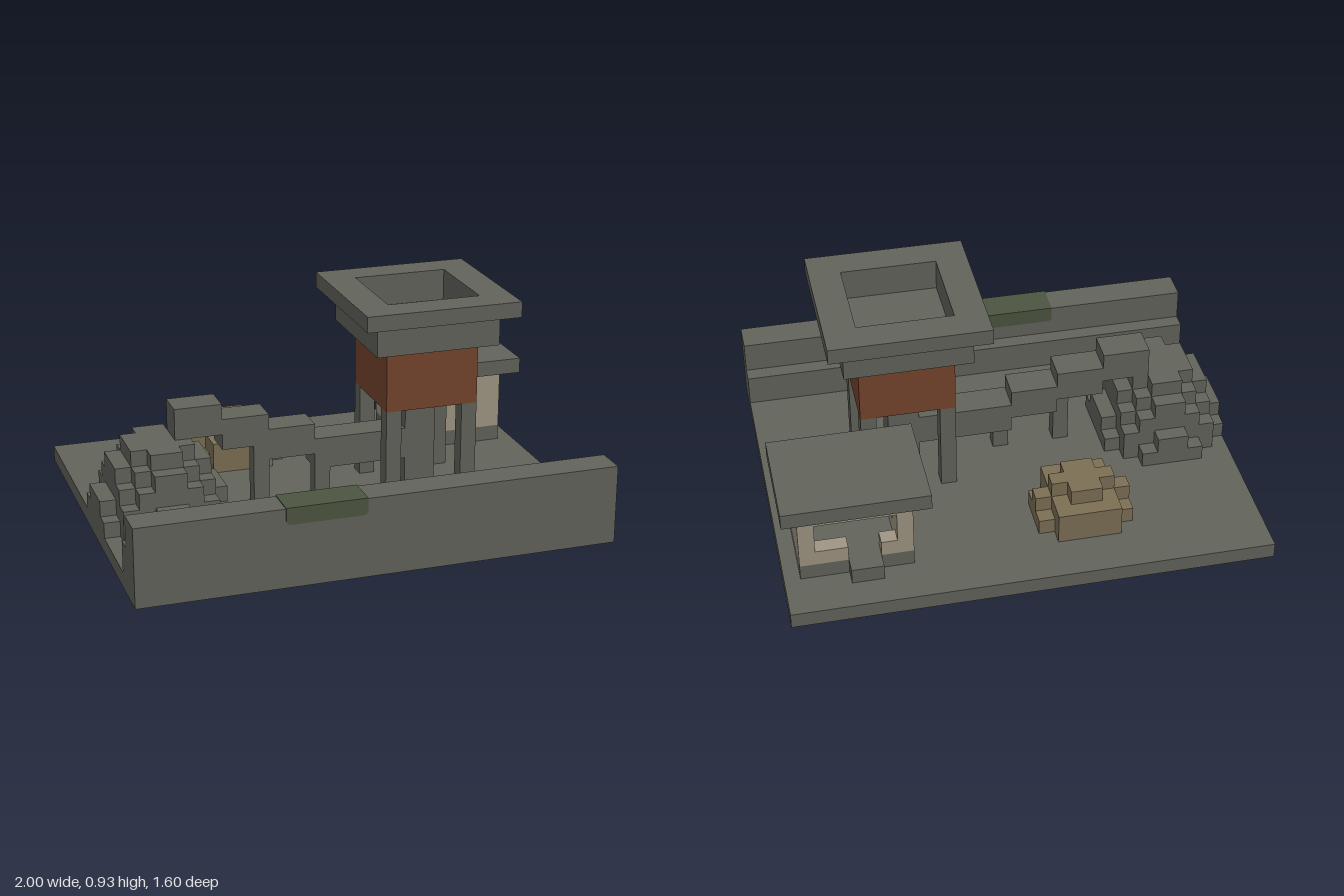
import * as THREE from 'three';

const U = 1 / 15; // one building block

function mat(name, color) {
  const m = new THREE.MeshStandardMaterial({ color });
  m.name = name;
  return m;
}

export function createModel() {
  const stone = mat('grey stone', 0x62635b);
  const plaster = mat('beige plaster', 0x9f9683);
  const rust = mat('rust brown', 0x75452d);
  const straw = mat('dry straw', 0x7c6f54);
  const moss = mat('moss green', 0x4c5540);

  const root = new THREE.Group();
  root.name = 'outpost';
  const group = (name) => {
    const g = new THREE.Group();
    g.name = name;
    root.add(g);
    return g;
  };

  // Box between two corners, in blocks
  function box(parent, name, material, x0, x1, y0, y1, z0, z1) {
    const geo = new THREE.BoxGeometry((x1 - x0) * U, (y1 - y0) * U, (z1 - z0) * U);
    const m = new THREE.Mesh(geo, material);
    m.position.set((x0 + x1) * U / 2, (y0 + y1) * U / 2, (z0 + z1) * U / 2);
    m.name = name;
    parent.add(m);
    return m;
  }

  // Square frame with a square hole, lying flat
  function frame(parent, name, cx, cz, outer, inner, y0, y1) {
    const square = (P, r) => new P([[-r, -r], [r, -r], [r, r], [-r, r]]
      .map(([x, y]) => new THREE.Vector2(x * U, y * U)));
    const s = square(THREE.Shape, outer);
    s.holes.push(square(THREE.Path, inner));
    const geo = new THREE.ExtrudeGeometry(s, { depth: (y1 - y0) * U, bevelEnabled: false });
    geo.rotateX(-Math.PI / 2);
    const m = new THREE.Mesh(geo, stone);
    m.position.set(cx * U, y0 * U, cz * U);
    m.name = name;
    parent.add(m);
  }

  // Stepped heap: each layer is [y0, y1, [x0, x1, z0, z1], ...]
  function heap(parent, name, material, layers) {
    for (const [y0, y1, ...slabs] of layers)
      for (const [x0, x1, z0, z1] of slabs) box(parent, name, material, x0, x1, y0, y1, z0, z1);
  }

  // Ground and front wall
  const ground = group('ground');
  box(ground, 'groundSlab', stone, -15, 15, 0, 1, -12, 12);
  box(ground, 'frontWall', stone, -15, 15, 1, 5, 10, 12);
  box(ground, 'wallStep', stone, -15, 15, 1, 3, 9, 10);

  // Moss draped over the wall, with rounded lower corners
  const t = 0.004, r = 0.02, xa = -6 * U, xb = -U, ya = 4 * U, yb = 5 * U + t;
  const patch = new THREE.Shape();
  patch.moveTo(xa, yb);
  patch.lineTo(xa, ya + r);
  patch.quadraticCurveTo(xa, ya, xa + r, ya);
  patch.lineTo(xb - r, ya);
  patch.quadraticCurveTo(xb, ya, xb, ya + r);
  patch.lineTo(xb, yb);
  const mossMesh = new THREE.Mesh(
    new THREE.ExtrudeGeometry(patch, { depth: 2 * U + 2 * t, bevelEnabled: false, curveSegments: 4 }), moss);
  mossMesh.position.z = 10 * U - t;
  mossMesh.name = 'mossPatch';
  ground.add(mossMesh);

  // Water tower
  const tower = group('waterTower');
  for (const x of [3, 8]) for (const z of [-2, 3]) box(tower, 'towerLeg', stone, x, x + 1, 1, 7, z, z + 1);
  box(tower, 'centralPipe', stone, 5, 7, 1, 7, 0, 2);
  box(tower, 'tank', rust, 3, 9, 7, 11, -2, 4);
  box(tower, 'basinFloor', stone, 2, 10, 11, 12, -3, 5);
  frame(tower, 'basinWall', 6, 1, 4, 3, 12, 13);
  frame(tower, 'basinRim', 6, 1, 5, 3, 13, 14);

  // Stepped pipe from the rock mound down to the tower
  const pipe = group('steppedPipe');
  [[-10, -7, 6], [-7, -4, 5], [-4, -1, 4], [-1, 5, 3]].forEach(([x0, x1, y]) =>
    box(pipe, 'pipeSection', stone, x0, x1, y, y + 2, 0, 2));
  box(pipe, 'pipeSupport', stone, -5, -4, 1, 5, 1, 2);
  box(pipe, 'pipeSupport', stone, -1, 0, 1, 3, 1, 2);

  // Rock mound
  heap(group('rockMound'), 'rockLayer', stone, [
    [1, 2, [-13, -9, -3, 6], [-14, -8, -2, 5], [-15, -7, -1, 4]],
    [2, 3, [-12, -10, -3, 6], [-14, -8, -2, 5], [-15, -7, 0, 3]],
    [3, 4, [-13, -9, -2, 5], [-14, -8, -1, 4]],
    [4, 5, [-12, -10, -2, 5], [-13, -9, -1, 4], [-14, -8, 0, 3]],
    [5, 6, [-12, -10, -1, 4], [-13, -9, 0, 3]],
  ]);

  // Straw heap
  heap(group('strawHeap'), 'strawLayer', straw, [
    [1, 2, [-6, -2, -9, -4], [-7, -1, -8, -5]],
    [2, 3, [-6, -2, -9, -4], [-7, -1, -7, -6]],
    [3, 4, [-5, -3, -8, -5], [-6, -2, -7, -6]],
  ]);

  // Hut with a door and window at the back and a window on its right side
  const hut = group('hut');
  box(hut, 'hutBase', stone, 7, 14, 1, 2, -9, -4);
  box(hut, 'doorStep', stone, 9, 11, 1, 2, -10, -9);
  box(hut, 'roof', stone, 6, 15, 6, 7, -10, -3);
  box(hut, 'frontWallPanel', plaster, 7, 14, 2, 6, -5, -4);
  box(hut, 'leftWallPanel', plaster, 13, 14, 2, 6, -9, -5);
  box(hut, 'backLintel', plaster, 7, 13, 5, 6, -9, -8);
  box(hut, 'backPost', plaster, 7, 8, 2, 5, -9, -7);
  box(hut, 'backSill', plaster, 8, 9, 2, 3, -9, -8);
  box(hut, 'backSill', plaster, 11, 13, 2, 3, -9, -8);
  box(hut, 'sideSill', plaster, 7, 8, 2, 3, -7, -5);
  box(hut, 'sideLintel', plaster, 7, 8, 5, 6, -8, -5);

  return root;
}
